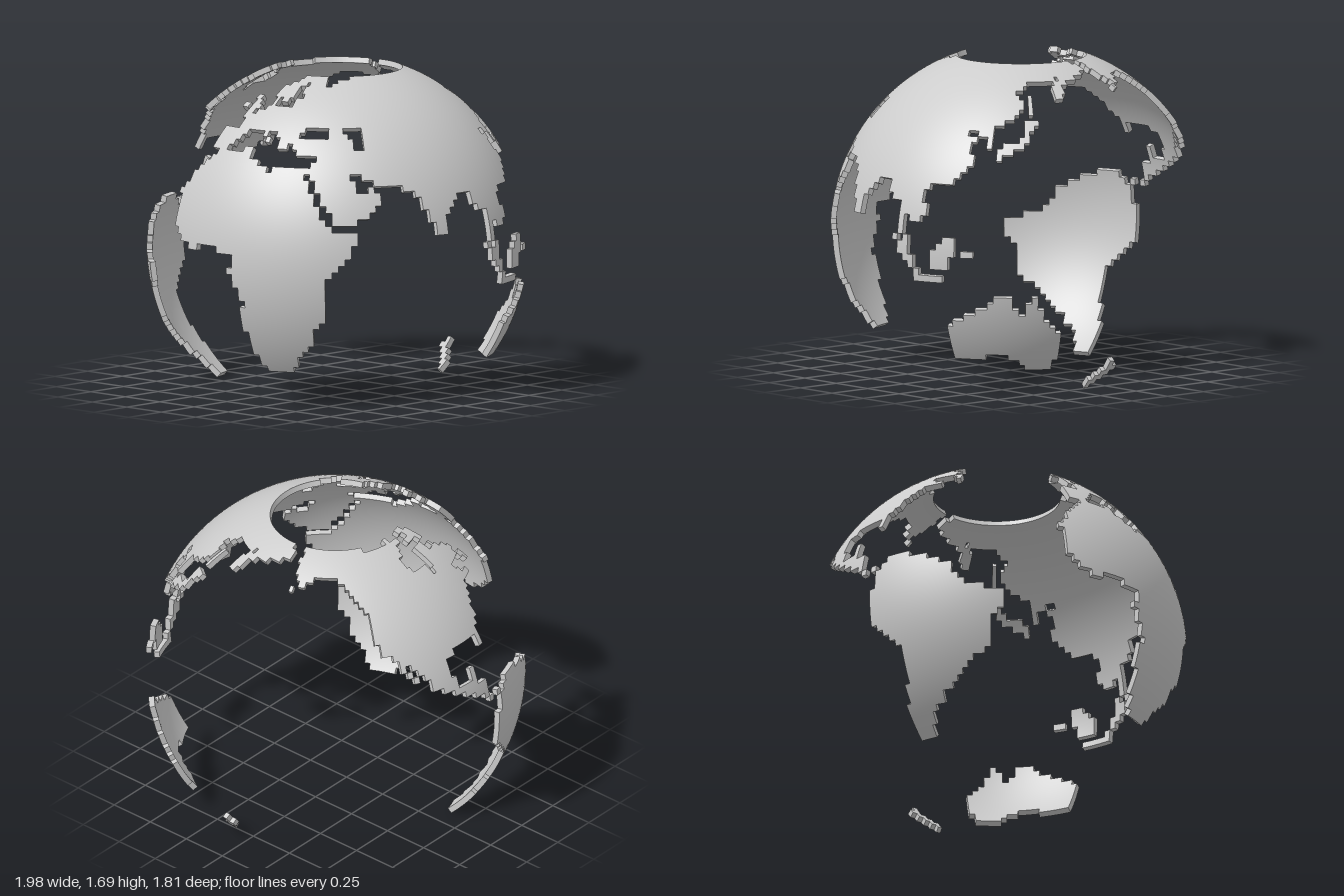
import * as THREE from 'three';

const STEP = 2;                 // grid cell in degrees
const OUTER = 1.003, INNER = 0.972;
const CENTRE = new THREE.Vector3(0.003, 0.744, -0.087);
const SOUTH = -48, NORTH = 70;  // rows of the grid end here

// Coast outlines as longitude, latitude pairs
const LAND = {
  africa: [-6, 36, 10, 37.3, 11, 34, 19, 30.5, 20, 33, 30, 31.3, 34, 31.3, 32.5, 29.5, 35, 25, 37, 21, 39, 16, 43, 11.5,
    51.5, 12, 48, 5, 42, -1.5, 39, -6, 40.5, -15, 35, -20, 35.5, -24, 32.5, -27, 28, -33, 20, -35.2, 18, -33, 15, -27,
    12, -17, 13.5, -10, 9, -1, 9.5, 4, 5, 4.5, 1, 6, -7, 4.3, -13, 8, -17, 13.5, -16, 18, -17, 21, -13, 27.5, -9.7, 31],
  europe: [-9, 37, -9, 43.3, -2, 43.6, -1, 46, -4.5, 48.5, 2, 51, 8, 54, 8, 57.3, 11, 57, 11, 54.3, 14, 54, 19, 54.6,
    21, 57, 23.5, 59, 30, 60, 22.5, 60, 21.5, 62.5, 25, 65.2, 22, 65.8, 17.5, 62, 18, 60, 16, 56.5, 12.5, 56, 11, 59,
    6, 58, 5, 62, 12, 65.5, 15, 68.5, 20, 70.5, 30, 70.5, 41, 67.5, 33, 66.7, 38, 64, 40, 65, 44, 66, 44, 68, 60, 69.5,
    60, 40, 30, 40, 26, 40.7, 23, 40.5, 24, 38, 22.5, 36.5, 19.5, 40, 19, 42, 13.5, 45.5, 12.5, 44, 18, 40.2, 16, 38,
    15.5, 40, 10, 44, 5, 43.2, 3, 42, 0, 39.5, -2, 36.8, -5.5, 36],
  asia: [26, 40.5, 60, 44, 60, 70.5, 180, 70.5, 190, 66, 180, 62.5, 170, 60, 163, 58, 162, 55, 157, 51, 156, 57, 163, 62,
    155, 59.3, 142, 59, 136, 54.5, 141, 52, 140, 48, 135, 43.5, 130, 42.5, 127.5, 39.5, 129.5, 36, 126.5, 34.5, 125, 38,
    121, 39.5, 118, 39, 122, 37, 119.5, 35, 122, 31, 120, 26, 114, 22.3, 108, 21.5, 106, 18, 109, 13, 105, 9, 101, 13,
    99.5, 10, 103.5, 2, 101, 3, 98, 9, 98, 16, 94, 16, 91, 22.5, 87, 21, 80, 15, 80, 11, 77.5, 8, 73, 18, 72, 21, 67, 25,
    57, 26.5, 50, 30, 48, 30, 51, 24, 56, 25.5, 60, 22, 52, 16, 44, 12.7, 39, 21, 35, 28, 34.5, 32, 36, 36.5, 28, 36.7],
  northAmericaUpper: [-168, 65.5, -163, 67, -166, 68.5, -162, 70.5, -128, 70.5, -115, 69, -108, 68, -95, 68, -94, 71,
    -90, 69, -86, 68, -82, 69, -82, 67, -87, 65, -94, 61, -94, 58.5, -92, 57, -85, 55.3, -82, 55, -82, 52.5, -79, 51.2,
    -79, 54.5, -77, 57, -78, 60, -78, 62.4, -73, 62, -70, 61, -69, 58.8, -66, 58.6, -64.5, 60.3, -62, 57, -58, 54.5,
    -56, 52, -60, 50, -66, 50.2, -68, 48, -125, 48, -128, 51, -133, 56, -140, 60, -148, 60.5, -153, 58, -158, 56.3,
    -164, 54.5, -158, 58.5, -162, 59, -166, 62, -161, 64],
  northAmericaLower: [-124, 48, -68, 48, -65, 48.5, -65, 46, -60, 46.5, -64, 44, -67, 44.6, -70, 43.5, -70, 41.7, -74, 40.5,
    -76, 37, -76, 35, -81, 31.5, -80, 26, -81, 25, -83, 29.5, -89, 30, -94, 29.5, -97.5, 27, -97.5, 22, -95, 18.5,
    -91, 18.5, -90, 21.3, -87, 21.3, -88, 16, -83.5, 15.2, -83.5, 11, -81, 8.8, -78, 9.3, -77, 7.5, -80, 6.9, -83, 8.3,
    -86, 11, -92, 14.3, -96, 15.8, -105, 20, -106, 23, -112.5, 29.5, -114.5, 31.5, -110, 23.5, -115, 28, -117, 32.5,
    -121, 35, -124.3, 40],
  southAmerica: [-77, 8, -72, 12, -62, 10.5, -52, 5, -50, 0, -44, -2.5, -37, -4.5, -35, -8, -39, -13, -39, -18, -42, -23,
    -48, -26, -49, -29, -54, -34, -58, -34.5, -57, -37, -62, -39, -65, -42, -64, -43, -67, -46, -66, -48, -75, -48,
    -73, -40, -73.5, -37, -71, -30, -70, -18, -76, -14, -81, -6, -80, -2, -80, 1, -77, 4],
  australia: [114, -22, 122, -18, 129, -15, 131, -11.8, 136.5, -12, 135.5, -15, 140, -17.8, 142, -10.5, 146, -19,
    153, -26, 150, -37, 145, -39, 140, -37.5, 137, -34, 131, -31.5, 124, -33.5, 115, -35],
  arcticIsland: [-65, 62, -73, 64.5, -78, 65, -72, 67, -73, 68.5, -80, 70.2, -70, 70.2, -62, 66.5],
  gulfIsland: [-59, 47.5, -53, 46.7, -53, 49, -56, 51.5],
  britishIsland: [-5, 50, 1, 51, 1.5, 53, -2, 56, -3, 58.7, -6, 57, -4, 53.5],
  irishIsland: [-10, 51.5, -6, 52, -6, 55, -10, 54.5],
  japaneseIslands: [130, 31, 132, 31, 136, 33.5, 140.5, 35, 142, 39.5, 145.5, 43, 142, 45.5, 140, 42, 140, 39.5,
    136.5, 36.5, 130, 34],
  okhotskIsland: [142, 46, 144, 46, 144.5, 49, 143.5, 54.5, 142, 54.5],
  sundaIslands: [95, 6, 98, 5, 104, -1, 106, -6, 114, -6.8, 114, -8.8, 105, -7.2, 100, -1],
  borneoIsland: [109, 2, 113, 3, 117, 7, 119, 5, 117.5, 1, 116, -4, 110.5, -3],
  celebesIsland: [119.5, -5, 121, -5, 121, 0, 124.5, 0.5, 124.5, 2, 120, 1],
  newZealand: [173, -34, 175, -36, 178, -38, 176, -41.5, 170, -47.5, 166.5, -46, 172, -41, 174.5, -39],
};

// Inland waters cut out of the land
const SEAS = [
  [28, 42, 28, 44, 31, 46.5, 38, 47, 41.5, 42, 36, 41.3, 31, 41.3],
  [47, 45, 53, 47, 54, 37, 49, 37.5, 50, 40.5],
];

function inside(o, x, y) {
  let hit = false;
  for (let i = 0, j = o.length - 2; i < o.length; j = i, i += 2) {
    if ((o[i + 1] > y) !== (o[j + 1] > y) &&
      x < o[i] + (y - o[i + 1]) * (o[j] - o[i]) / (o[j + 1] - o[i + 1])) hit = !hit;
  }
  return hit;
}

const wrap = (lon) => ((lon + 540) % 360) - 180;
const key = (lon, lat) => wrap(lon) + ',' + lat;

// Decide which land, if any, covers each grid cell (south-west corner is the key)
function fillGrid() {
  const grid = new Map();
  for (let lat = SOUTH; lat < NORTH; lat += STEP) {
    for (let lon = -180; lon < 180; lon += STEP) {
      const x = lon + STEP / 2, y = lat + STEP / 2;
      if (SEAS.some((s) => inside(s, x, y))) continue;
      const name = Object.keys(LAND).find((n) => inside(LAND[n], x, y) || inside(LAND[n], x + 360, y));
      if (name) grid.set(key(lon, lat), name);
    }
  }
  return grid;
}

function direction([lon, lat]) {
  const a = THREE.MathUtils.degToRad(lon), b = THREE.MathUtils.degToRad(lat);
  return new THREE.Vector3(Math.cos(b) * Math.sin(a), Math.sin(b), Math.cos(b) * Math.cos(a));
}

// Curved slab of one land: outer and inner skin per cell, walls along the coast
function landGeometry(grid, name) {
  const pos = [], nor = [];
  const quad = (points, normals) => {
    for (const i of [0, 1, 2, 0, 2, 3]) {
      pos.push(...points[i].toArray());
      nor.push(...normals[i].toArray());
    }
  };
  for (const [cell, owner] of grid) {
    if (owner !== name) continue;
    const [lon, lat] = cell.split(',').map(Number);
    const d = [[lon, lat], [lon + STEP, lat], [lon + STEP, lat + STEP], [lon, lat + STEP]].map(direction);
    const out = d.map((v) => v.clone().multiplyScalar(OUTER));
    const inn = d.map((v) => v.clone().multiplyScalar(INNER));
    quad(out, d);
    quad([...inn].reverse(), d.map((v) => v.clone().negate()).reverse());
    [[0, -STEP], [STEP, 0], [0, STEP], [-STEP, 0]].forEach(([dx, dy], i) => {
      if (grid.has(key(lon + dx, lat + dy))) return;
      const j = (i + 1) % 4;
      const n = inn[i].clone().sub(out[i]).cross(out[j].clone().sub(out[i])).normalize();
      quad([out[i], inn[i], inn[j], out[j]], [n, n, n, n]);
    });
  }
  const geometry = new THREE.BufferGeometry();
  geometry.setAttribute('position', new THREE.Float32BufferAttribute(pos, 3));
  geometry.setAttribute('normal', new THREE.Float32BufferAttribute(nor, 3));
  return geometry;
}

export function createModel() {
  const globe = new THREE.Group();
  globe.name = 'continentGlobe';
  const grey = new THREE.MeshStandardMaterial({ color: 0xcccccc });
  grey.name = 'light grey';
  const grid = fillGrid();
  for (const name of new Set(grid.values())) {
    const mesh = new THREE.Mesh(landGeometry(grid, name), grey);
    mesh.name = name;
    mesh.position.copy(CENTRE);
    globe.add(mesh);
  }
  return globe;
}
